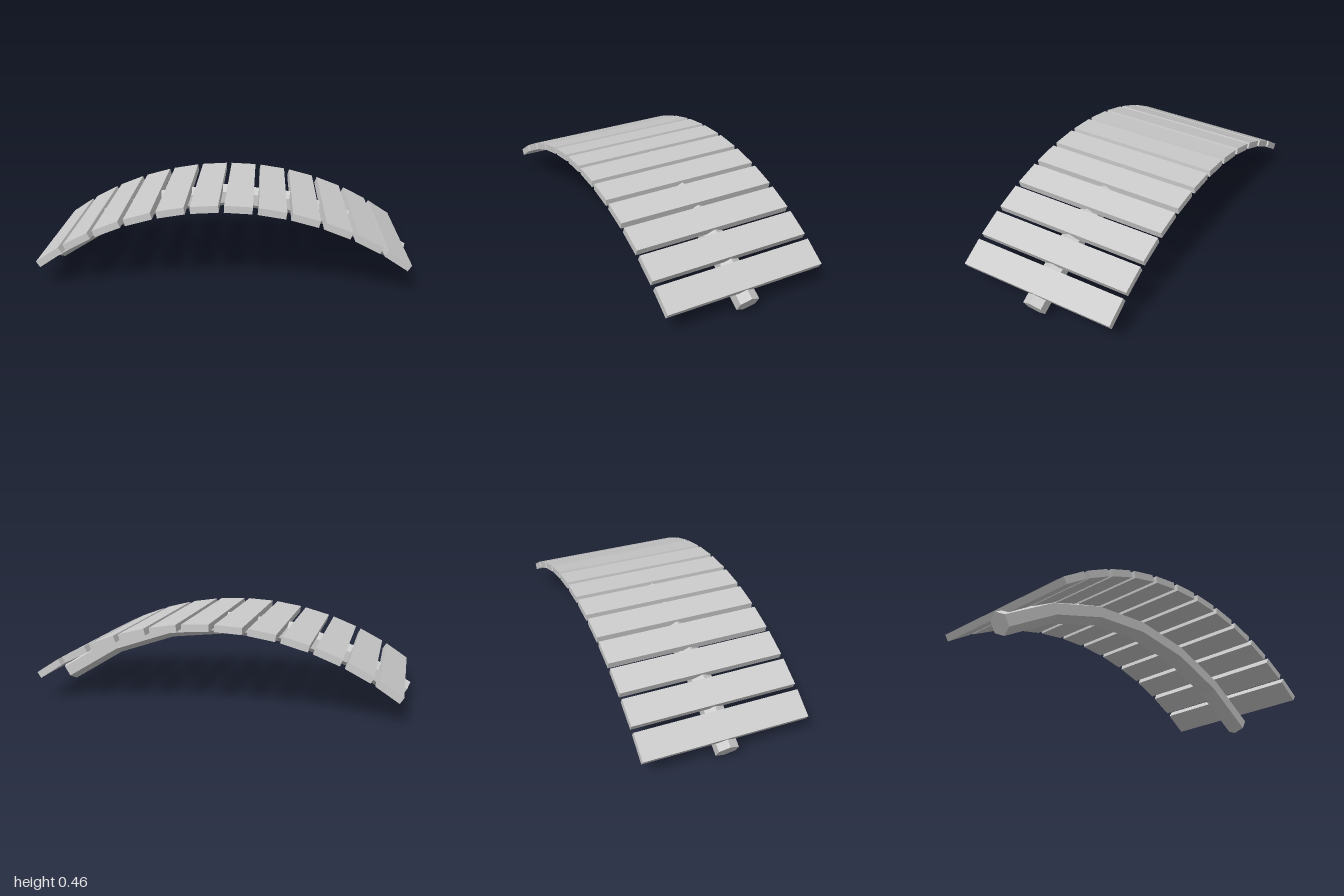
import * as THREE from 'three';

const RAD = Math.PI / 180;
const ARC_RADIUS = 1.592;
const SEGMENTS = 6, SEGMENT_ANGLE = 12.5;
const PLANKS = 12, PLANK_STEP = 6.03;
const PLANK = { width: 0.145, thickness: 0.037, depth: 0.87, topRadius: 1.661 };

const material = new THREE.MeshStandardMaterial({ color: 0xcccccc, flatShading: true });

// Six-sided beam: a cylinder bent along the arc, one ridge pointing outward
function beamGeometry() {
  const geometry = new THREE.CylinderGeometry(0.061, 0.061, 1, 6, SEGMENTS);
  const p = geometry.attributes.position;
  const maxTilt = SEGMENT_ANGLE * (SEGMENTS - 1) / 2; // end cuts are square to the end segments
  for (let i = 0; i < p.count; i++) {
    const phi = p.getY(i) * SEGMENTS * SEGMENT_ANGLE;
    const tilt = THREE.MathUtils.clamp(phi, -maxTilt, maxTilt) * RAD;
    const out = p.getZ(i);
    p.setXYZ(i,
      ARC_RADIUS * Math.sin(phi * RAD) + out * Math.sin(tilt),
      ARC_RADIUS * Math.cos(phi * RAD) + out * Math.cos(tilt),
      p.getX(i));
  }
  const flat = geometry.toNonIndexed();
  flat.computeVertexNormals();
  return flat;
}

export function createModel() {
  const model = new THREE.Group();
  model.name = 'archedPlankBridge';

  // Everything is laid out around the centre of the arc, leaning very slightly
  const arch = new THREE.Group();
  arch.name = 'arch';
  arch.position.set(0.0066, -1.206, 0);
  arch.rotation.z = 0.3 * RAD;
  model.add(arch);

  const beam = new THREE.Mesh(beamGeometry(), material);
  beam.name = 'supportBeam';
  arch.add(beam);

  // Walkway planks fanned along the top of the beam
  const plankGeometry = new THREE.BoxGeometry(PLANK.width, PLANK.thickness, PLANK.depth);
  const deck = new THREE.Group();
  deck.name = 'deck';
  deck.rotation.z = 0.17 * RAD;
  arch.add(deck);
  const radius = PLANK.topRadius - PLANK.thickness / 2;
  for (let i = 0; i < PLANKS; i++) {
    const angle = (i - (PLANKS - 1) / 2) * PLANK_STEP * RAD;
    const plank = new THREE.Mesh(plankGeometry, material);
    plank.name = `plank${i + 1}`;
    plank.position.set(radius * Math.sin(angle), radius * Math.cos(angle), 0);
    plank.rotation.z = -angle;
    deck.add(plank);
  }
  return model;
}
